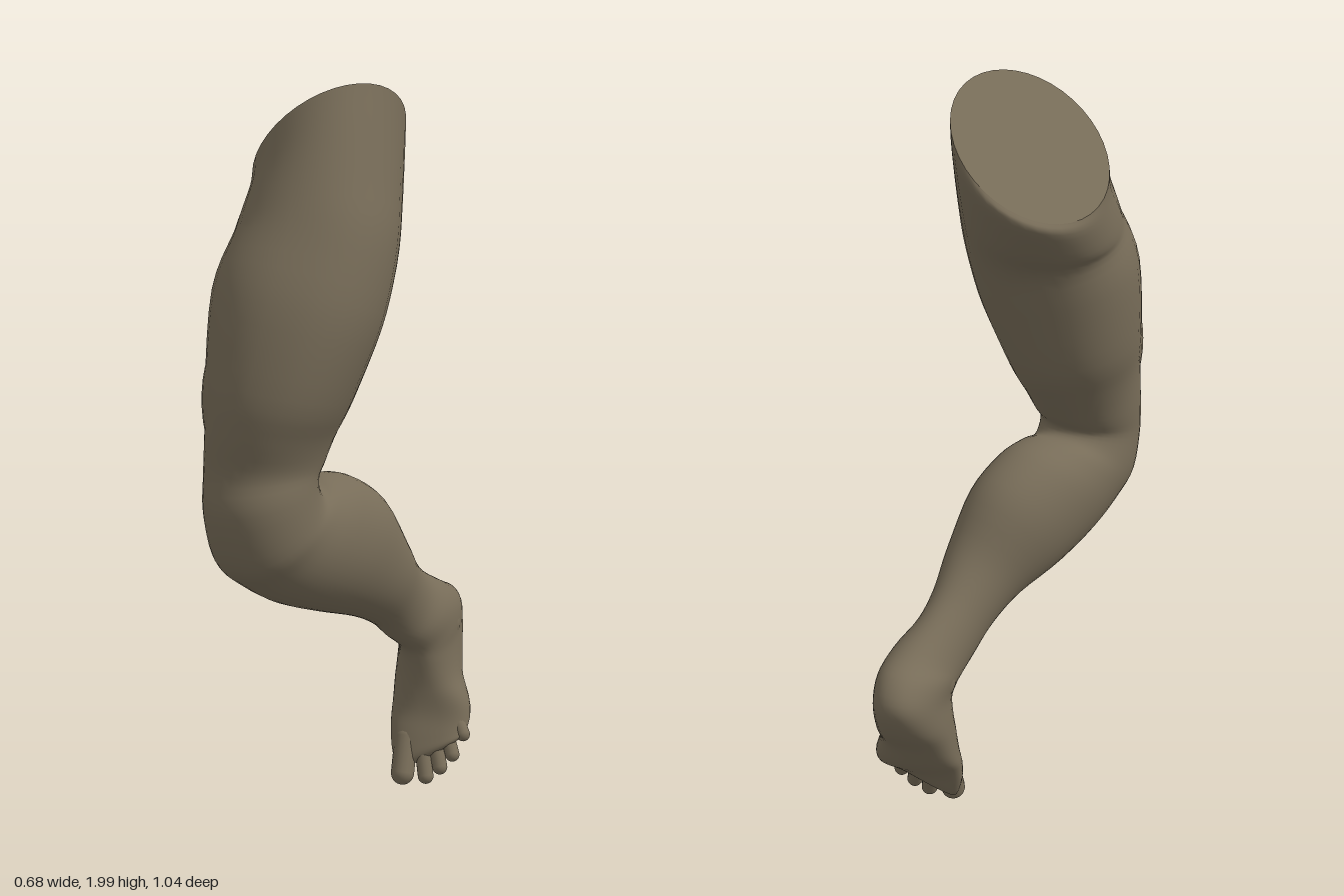
import * as THREE from 'three';

// Section rows: front edge z,y | back edge z,y | centre x | half x-offset front to back | half width | sideways tilt | roundness
const THIGH = [
  [.235, 1.95, -.245, 1.715, -.05, -.03, .2, .105, 1],
  [.29, 1.865, -.258, 1.68, -.053, -.02, .203, .09, 1],
  [.36, 1.74, -.18, 1.58, -.065, -.01, .213, .05, .97],
  [.42, 1.62, -.1, 1.51, -.076, 0, .218, .02, .92],
  [.49, 1.455, -.06, 1.4, -.113, 0, .22, 0, .9],
  [.52, 1.25, 0, 1.22, -.153, -.015, .186, 0, .9],
  [.505, 1.14, .07, 1.12, -.175, -.04, .157, 0, .93],
];
const SHIN = [
  [.478, 1.04, .14, 1.04, -.19, -.06, .142, 0, .95],
  [.49, .94, .18, 1, -.195, -.06, .139, 0, .95],
  [.45, .8, .165, .978, -.18, -.06, .143, 0, .95],
  [.38, .735, .11, .985, -.145, -.06, .146, 0, .98],
  [.28, .67, .03, .97, -.085, -.06, .15, 0, .97],
  [.15, .615, -.06, .9, -.008, -.06, .14, 0, .97],
  [.02, .565, -.13, .77, .068, -.05, .108, 0, 1],
  [-.08, .51, -.21, .68, .115, -.035, .084, 0, 1],
  [-.14, .455, -.29, .62, .152, -.03, .079, 0, 1],
];
const FOOT = [
  [-.17, .425, -.39, .565, .193, -.035, .09, 0, 1],
  [-.19, .4, -.475, .53, .214, -.035, .093, 0, .95],
  [-.197, .37, -.52, .465, .222, -.03, .09, 0, .9],
  [-.203, .32, -.485, .375, .22, -.02, .095, 0, .87],
  [-.205, .27, -.41, .29, .218, -.01, .102, 0, .82],
  [-.2, .2, -.345, .2, .226, 0, .117, .01, .75],
  [-.183, .14, -.285, .14, .223, 0, .113, .03, .7],
  [-.172, .105, -.255, .105, .222, 0, .101, .045, .7],
  [-.178, .085, -.235, .085, .222, 0, .09, .05, .7],
];

// Smooth in-between rows
function smoothRows(rows, steps) {
  const out = [];
  const at = i => rows[Math.min(Math.max(i, 0), rows.length - 1)];
  for (let i = 0; i < rows.length - 1; i++) {
    for (let s = 0; s < steps; s++) {
      const t = s / steps, t2 = t * t, t3 = t2 * t;
      const [a, b, c, d] = [at(i - 1), at(i), at(i + 1), at(i + 2)];
      out.push(b.map((_, k) => 0.5 * (2 * b[k] + (c[k] - a[k]) * t
        + (2 * a[k] - 5 * b[k] + 4 * c[k] - d[k]) * t2
        + (3 * b[k] - a[k] - 3 * c[k] + d[k]) * t3)));
    }
  }
  out.push(rows[rows.length - 1]);
  return out;
}

// Rounded rings of points, one per row
function makeRings(rows, sides) {
  const centres = rows.map(r => new THREE.Vector3(r[4], (r[1] + r[3]) / 2, (r[0] + r[2]) / 2));
  const last = rows.length - 1;
  return rows.map((r, i) => {
    const along = centres[Math.min(i + 2, last)].clone().sub(centres[Math.max(i - 2, 0)]).normalize();
    const v = new THREE.Vector3(r[5], (r[1] - r[3]) / 2, (r[0] - r[2]) / 2);
    const u = v.clone().cross(along).normalize().multiplyScalar(r[6]);
    u.y += r[7];
    const bend = w => Math.sign(w) * Math.abs(w) ** r[8];
    return Array.from({ length: sides }, (_, j) => {
      const a = j / sides * Math.PI * 2;
      return centres[i].clone().addScaledVector(u, bend(Math.cos(a))).addScaledVector(v, bend(Math.sin(a)));
    });
  });
}

function loft(rings) {
  const n = rings[0].length, index = [];
  for (let i = 0; i < rings.length - 1; i++) {
    for (let j = 0; j < n; j++) {
      const a = i * n + j, b = i * n + (j + 1) % n;
      index.push(a, b, a + n, b, b + n, a + n);
    }
  }
  const g = new THREE.BufferGeometry().setFromPoints(rings.flat());
  g.setIndex(index);
  g.computeVertexNormals();
  return g;
}

// Flat lid over one ring
function lid(ring, flip) {
  const n = ring.length, index = [];
  const centre = ring.reduce((s, p) => s.add(p), new THREE.Vector3()).divideScalar(n);
  for (let j = 0; j < n; j++) {
    const k = (j + 1) % n;
    index.push(n, flip ? k : j, flip ? j : k);
  }
  const g = new THREE.BufferGeometry().setFromPoints([...ring, centre]);
  g.setIndex(index);
  g.computeVertexNormals();
  return g;
}

export function createModel() {
  const group = new THREE.Group();
  const skin = new THREE.MeshStandardMaterial({ color: 0x776c58 });
  skin.name = 'skin';

  function add(name, geometry) {
    const mesh = new THREE.Mesh(geometry, skin);
    mesh.name = name;
    group.add(mesh);
    return mesh;
  }
  function bulge(name, pos, size, rot = [0, 0, 0]) {
    const mesh = add(name, new THREE.SphereGeometry(1, 28, 18));
    mesh.position.set(...pos);
    mesh.scale.set(...size);
    mesh.rotation.set(...rot);
  }

  // Thigh, shin and foot as one continuous skin
  const rings = makeRings(smoothRows([...THIGH, ...SHIN, ...FOOT], 4), 40);
  add('leg', loft(rings));
  add('thighCut', lid(rings[0], true));
  add('footEnd', lid(rings[rings.length - 1], false));

  // Muscle and bone swellings
  bulge('innerThighMuscle', [-.245, 1.2, .34], [.095, .2, .12], [-.1, 0, .05]);
  bulge('kneecap', [-.235, .91, .4], [.085, .11, .077], [.15, -.4, 0]);
  bulge('innerAnkleBone', [.15, .455, -.315], [.036, .05, .05]);
  bulge('outerAnkleBone', [.275, .45, -.33], [.034, .05, .05]);

  // Toes: base, tip, radius, from the big toe outwards
  const toes = [
    [[.155, .13, -.22], [.147, .034, -.173], .034],
    [[.198, .14, -.218], [.215, .028, -.17], .023],
    [[.235, .15, -.222], [.256, .055, -.175], .022],
    [[.268, .165, -.225], [.292, .092, -.182], .021],
    [[.3, .19, -.235], [.322, .147, -.205], .021],
  ];
  toes.forEach(([base, tip, radius], i) => {
    const a = new THREE.Vector3(...base), b = new THREE.Vector3(...tip);
    const toe = add('toe' + (i + 1), new THREE.CapsuleGeometry(radius, a.distanceTo(b), 8, 16));
    toe.position.copy(a).lerp(b, .5);
    toe.quaternion.setFromUnitVectors(new THREE.Vector3(0, 1, 0), a.clone().sub(b).normalize());
  });

  return group;
}
